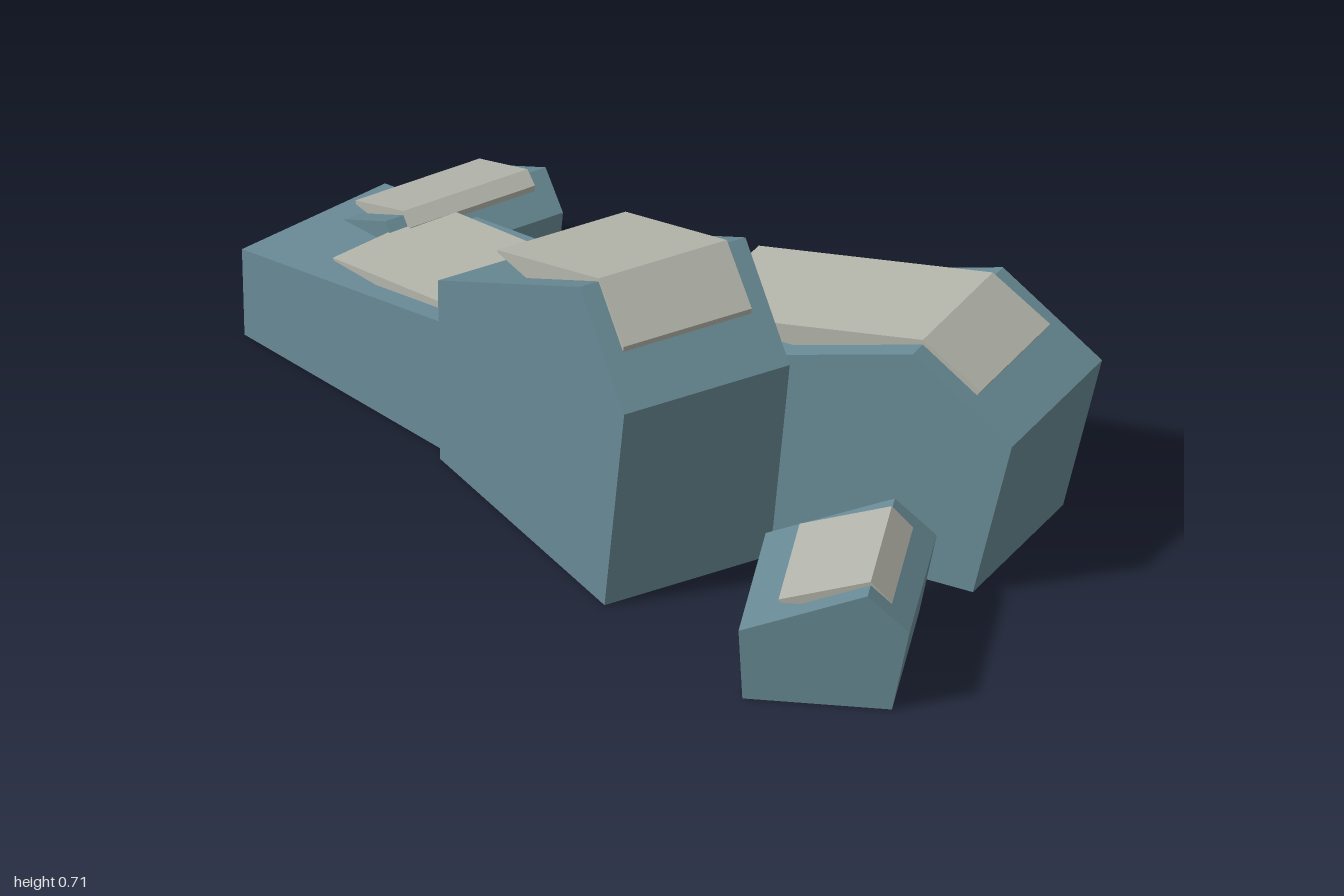
import * as THREE from 'three';

const rockMaterial = new THREE.MeshStandardMaterial({ color: 0x688a95 });
rockMaterial.name = 'slate blue rock';
const capMaterial = new THREE.MeshStandardMaterial({ color: 0xb3b4aa });
capMaterial.name = 'pale grey cap';

// Prism with the given [u, y] profile, centred across its width
function prism(name, profile, width, material) {
  const shape = new THREE.Shape(profile.map(([u, y]) => new THREE.Vector2(u, y)));
  const geometry = new THREE.ExtrudeGeometry(shape, { depth: width, bevelEnabled: false });
  geometry.translate(0, 0, -width / 2);
  const mesh = new THREE.Mesh(geometry, material);
  mesh.name = name;
  return mesh;
}

// half: half length, lean: overhang of the steep end, ridge: position of the crest,
// low / top / high: heights at the gentle end, crest and steep end
// cap: [start, end, base, low, top, high]
const boulders = [
  { name: 'mainBoulder', at: [0.04, 0.135], turn: -0.349, half: 0.378, lean: 0.08,
    ridge: 0.198, low: 0.42, top: 0.705, high: 0.495, cap: [-0.213, 0.3, 0.56, 0.565, 0.712, 0.602] },
  { name: 'longLowBoulder', at: [-0.555, -0.06], turn: -0.148, half: 0.422, lean: 0.03,
    ridge: 0.36, low: 0.2, top: 0.33, high: 0.28, cap: [-0.193, 0.41, 0.26, 0.265, 0.338, 0.305] },
  { name: 'rearBoulder', at: [0.365, -0.21], turn: 0.205, half: 0.49, lean: 0.09,
    ridge: 0.261, low: 0.31, top: 0.526, high: 0.37, cap: [-0.28, 0.394, 0.44, 0.447, 0.537, 0.452] },
  { name: 'smallRearBoulder', at: [-0.785, -0.305], turn: -0.297, half: 0.154, lean: 0.03,
    ridge: 0.089, low: 0.17, top: 0.285, high: 0.21, cap: [-0.09, 0.117, 0.222, 0.23, 0.295, 0.27] },
  { name: 'smallFrontBoulder', at: [0.745, 0.268], turn: 0.553, half: 0.176, lean: 0.036,
    ridge: 0.09, low: 0.16, top: 0.265, high: 0.185, cap: [-0.1, 0.134, 0.208, 0.215, 0.273, 0.226] },
];

export function createModel() {
  const model = new THREE.Group();
  model.name = 'boulderCluster';
  for (const b of boulders) {
    const group = new THREE.Group();
    group.name = b.name;

    // Rock body, slightly undercut at both ends
    group.add(prism('rock', [
      [-b.half + 0.008, 0], [b.half - b.lean, 0], [b.half, b.high],
      [b.ridge, b.top], [-b.half, b.low],
    ], 0.39, rockMaterial));

    // Pale weathered cap sunk into the crest
    const [start, end, base, low, top, high] = b.cap;
    group.add(prism('cap', [
      [start + 0.003, base], [end - 0.008, base], [end, high], [b.ridge, top], [start, low],
    ], 0.302, capMaterial));

    group.position.set(b.at[0], 0, b.at[1]);
    group.rotation.y = b.turn;
    model.add(group);
  }
  return model;
}
